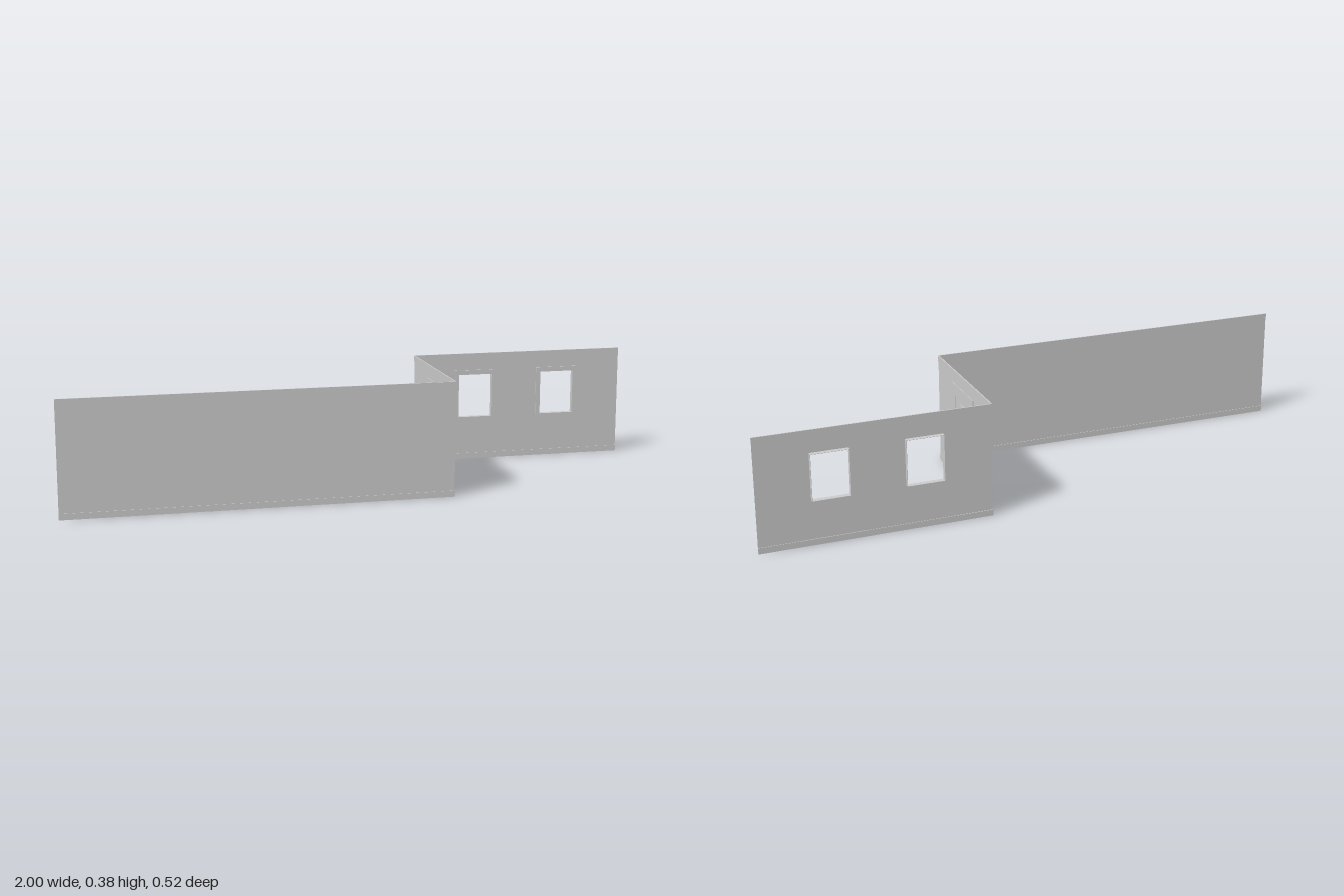
import * as THREE from 'three';

const H = 0.375;   // wall height
const TRIM = 0.02; // skirting and cornice height
const T = 0.002;   // trim thickness
const grey = new THREE.MeshStandardMaterial({ color: 0xcccccc, side: THREE.DoubleSide, flatShading: true });

function add(parent, name, geometry, x = 0, y = 0, z = 0) {
  const mesh = new THREE.Mesh(geometry, grey);
  mesh.name = name;
  mesh.position.set(x, y, z);
  parent.add(mesh);
  return mesh;
}

function rect(Type, x0, y0, x1, y1) {
  const r = new Type();
  r.moveTo(x0, y0);
  r.lineTo(x1, y0);
  r.lineTo(x1, y1);
  r.lineTo(x0, y1);
  r.closePath();
  return r;
}

// rectangular ring around an opening, with a border b and a depth in z
function ring([x0, y0, x1, y1], b, depth, openBottom = false) {
  const s = rect(THREE.Shape, x0 - b, openBottom ? y0 : y0 - b, x1 + b, y1 + b);
  s.holes.push(rect(THREE.Path, x0, openBottom ? y0 + 0.0005 : y0, x1, y1));
  return new THREE.ExtrudeGeometry(s, { depth, bevelEnabled: false });
}

// thin wall along local x, with skirting and cornice on both faces; gap interrupts the skirting
function wall(name, width, openings = [], gap = null) {
  const g = new THREE.Group();
  g.name = name;
  const s = rect(THREE.Shape, 0, 0, width, H);
  for (const o of openings) s.holes.push(rect(THREE.Path, ...o));
  add(g, 'wallPanel', new THREE.ShapeGeometry(s));
  const runs = gap ? [[0, gap[0]], [gap[1], width]] : [[0, width]];
  for (const side of [-1, 1]) {
    const z = side * T / 2;
    for (const [a, b] of runs)
      add(g, 'skirting', new THREE.BoxGeometry(b - a, TRIM, T), (a + b) / 2, TRIM / 2, z);
    add(g, 'cornice', new THREE.BoxGeometry(width, TRIM, T), width / 2, H - TRIM / 2, z);
  }
  return g;
}

export function createModel() {
  const model = new THREE.Group();
  const zFront = 0.258, zBack = -0.243, xCorner = 0.25;

  // long plain wall
  const longWall = wall('longWall', 1 + xCorner);
  longWall.position.set(-1, 0, zFront);
  model.add(longWall);

  // wall with two windows
  const windows = [0.16, 0.46].map(x => [x, 0.15, x + 0.12, 0.3]);
  const windowWall = wall('windowWall', 1 - xCorner, windows);
  windowWall.position.set(xCorner, 0, zBack);
  for (const w of windows) {
    add(windowWall, 'windowReveal', ring(w, 0.001, 0.015), 0, 0, -0.015);
    add(windowWall, 'windowCasing', ring(w, 0.016, T + 0.001));
  }
  model.add(windowWall);

  // connecting wall with the door; local x runs towards -z, local z faces +x
  const d0 = zFront - 0.087, d1 = zFront + 0.047, dTop = 0.305, c = 0.031;
  const doorWall = wall('doorWall', zFront - zBack, [], [d0 - c, d1 + c]);
  doorWall.rotation.y = Math.PI / 2;
  doorWall.position.set(xCorner, 0, zFront);
  model.add(doorWall);

  const mid = (d0 + d1) / 2;
  for (const side of [-1, 1]) {
    const casing = ring([d0, 0, d1, dTop], 0.031, T, true);
    casing.scale(1, (dTop + 0.023) / (dTop + c), 1);
    add(doorWall, 'doorCasing', casing, 0, 0, side > 0 ? 0 : -T);
    add(doorWall, 'doorLeaf', new THREE.BoxGeometry(d1 - d0, dTop - 0.002, 0.001), mid, dTop / 2, side * 0.0005);
    // raised door panels with sloped edges
    for (const [y0, y1] of [[0.045, 0.141], [0.155, 0.28]]) {
      const panel = new THREE.CylinderGeometry(0.7, 1, 1, 4, 1);
      panel.rotateY(Math.PI / 4);
      panel.rotateX(side * Math.PI / 2);
      panel.scale(0.042 / Math.SQRT2, (y1 - y0) / Math.SQRT2, 0.002);
      add(doorWall, 'doorPanel', panel, mid, (y0 + y1) / 2, side * 0.002);
    }
    // knob on a short stem
    const kx = zFront - 0.054;
    const stem = new THREE.CylinderGeometry(0.003, 0.003, 0.004, 10).rotateX(Math.PI / 2);
    add(doorWall, 'knobStem', stem, kx, 0.148, side * 0.002);
    const knob = add(doorWall, 'doorKnob', new THREE.SphereGeometry(0.007, 14, 10), kx, 0.148, side * 0.005);
    knob.scale.z = 0.5;
  }
  return model;
}
